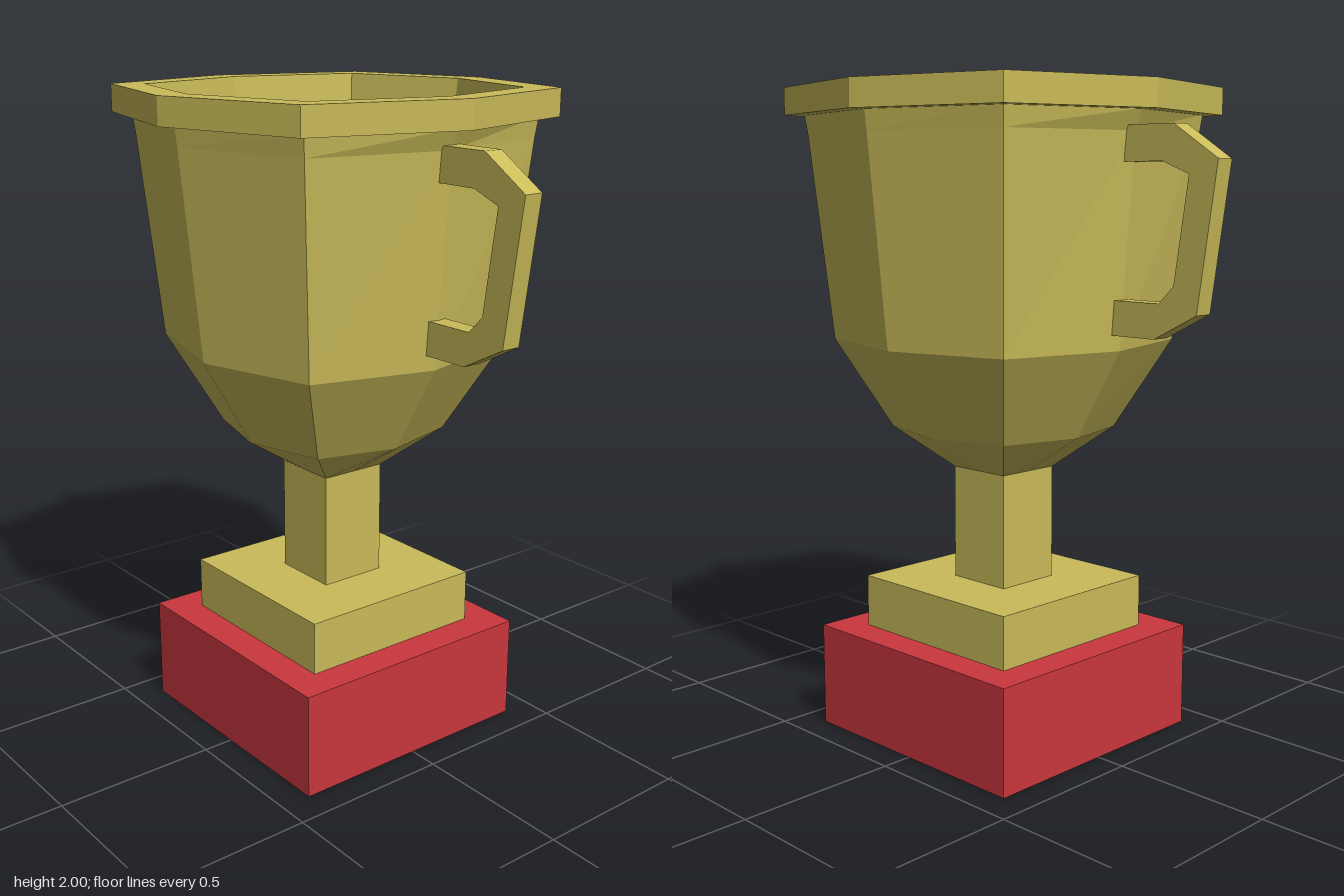
import * as THREE from 'three';

const gold = new THREE.MeshStandardMaterial({ color: 0xc9bb59, flatShading: true });
const red = new THREE.MeshStandardMaterial({ color: 0xc9373e, flatShading: true });

function add(group, name, geometry, material) {
  const mesh = new THREE.Mesh(geometry, material);
  mesh.name = name;
  group.add(mesh);
  return mesh;
}

// Square block from y0 to y1, with the given half width
function block(group, name, half, y0, y1, material) {
  add(group, name, new THREE.BoxGeometry(half * 2, y1 - y0, half * 2), material)
    .position.y = (y0 + y1) / 2;
}

// Skin through eight-cornered rings: [y, z reach, diagonal corner x = z, x reach]
function loft(rings) {
  const positions = [];
  const index = [];
  for (const [y, z, d, x = z] of rings) {
    positions.push(x, y, 0, d, y, d, 0, y, z, -d, y, d);
    positions.push(-x, y, 0, -d, y, -d, 0, y, -z, d, y, -d);
  }
  for (let i = 0; i < rings.length - 1; i++) {
    for (let j = 0; j < 8; j++) {
      const a = i * 8 + j;
      const b = i * 8 + (j + 1) % 8;
      index.push(a, a + 8, b, b, a + 8, b + 8);
    }
  }
  const geometry = new THREE.BufferGeometry();
  geometry.setAttribute('position', new THREE.Float32BufferAttribute(positions, 3));
  geometry.setIndex(index);
  const flat = geometry.toNonIndexed();
  flat.computeVertexNormals();
  return flat;
}

function handleGeometry() {
  const outline = [
    [0.48, 1.875], [0.67, 1.875], [0.82, 1.78], [0.76, 1.365], [0.615, 1.29], [0.45, 1.29],
    [0.45, 1.39], [0.63, 1.39], [0.68, 1.44], [0.725, 1.74], [0.635, 1.775], [0.48, 1.775],
  ];
  const shape = new THREE.Shape(outline.map(([x, y]) => new THREE.Vector2(x, y)));
  return new THREE.ExtrudeGeometry(shape, { depth: 0.06, bevelEnabled: false })
    .translate(0, 0, -0.03);
}

export function createModel() {
  const model = new THREE.Group();
  model.name = 'trophyCup';

  // Stepped foot and stem
  block(model, 'base', 0.407, 0, 0.325, red);
  block(model, 'baseStep', 0.305, 0.325, 0.488, gold);
  block(model, 'stem', 0.108, 0.488, 0.842, gold);

  // Outside of the bowl, drawn in slightly where the handles join
  add(model, 'bowl', loft([
    [0.842, 0.108, 0.108],
    [0.97, 0.31, 0.243],
    [1.243, 0.468, 0.368],
    [1.86, 0.533, 0.417, 0.515],
    [1.92, 0.54, 0.424],
  ]), gold);

  // Overhanging lip
  add(model, 'rim', loft([
    [1.918, 0.53, 0.417],
    [1.918, 0.592, 0.466],
    [2, 0.592, 0.466],
    [2, 0.5, 0.393],
  ]), gold);

  // Hollow interior and its floor
  add(model, 'bowlInterior', loft([
    [2, 0.5, 0.393],
    [1.25, 0.41, 0.322],
    [1.25, 0, 0],
  ]), gold);

  // Handles on both sides
  add(model, 'leftHandle', handleGeometry(), gold);
  add(model, 'rightHandle', handleGeometry(), gold).rotation.y = Math.PI;

  return model;
}
